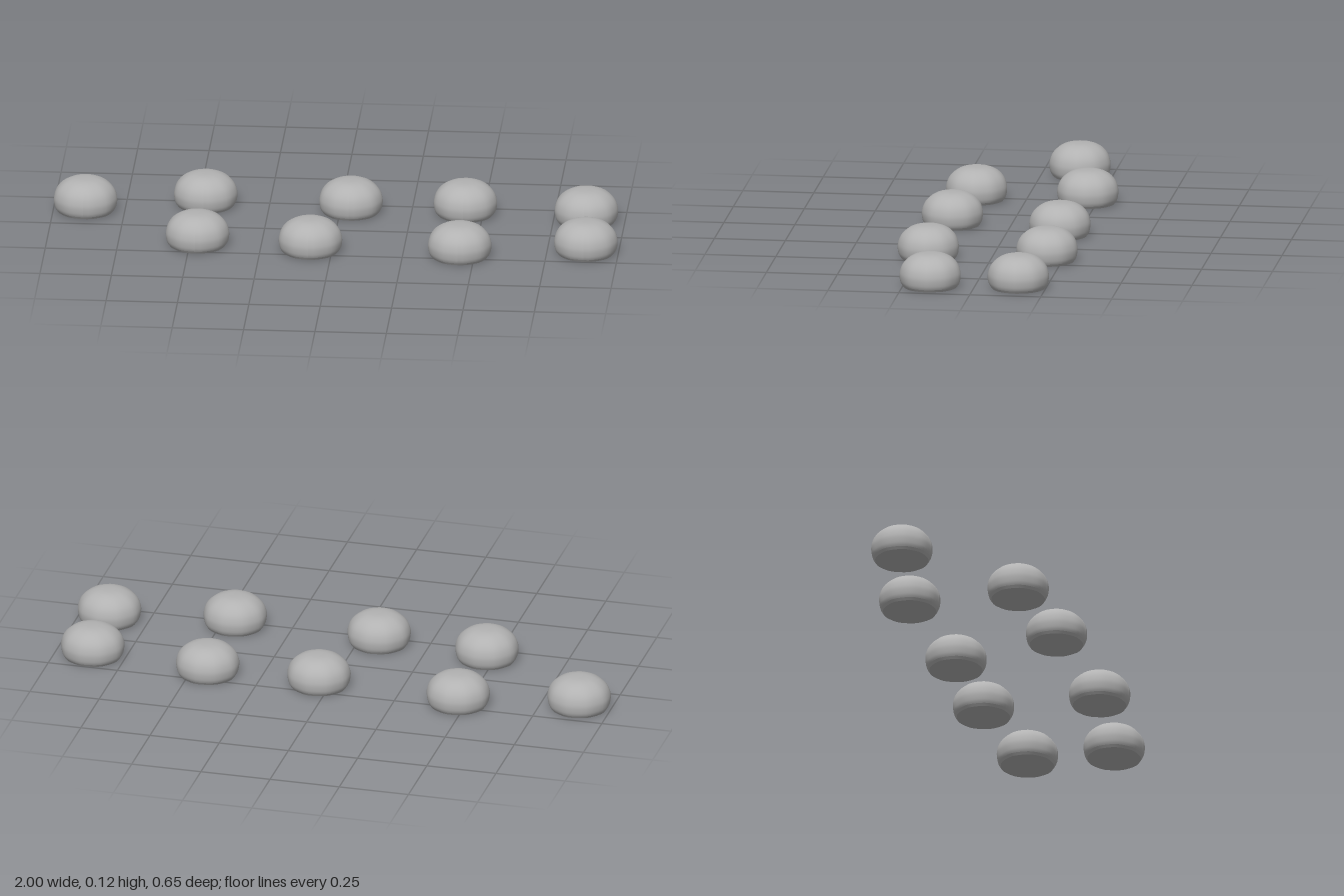
import * as THREE from 'three';

export function createModel() {
  const model = new THREE.Group();
  model.name = 'stones';
  const stoneGrey = new THREE.MeshStandardMaterial({ color: 0xb2b2b2 });
  stoneGrey.name = 'stoneGrey';

  // Low dome: undercut foot, widest near the bottom, softly flattened top
  const rim = [[0.93, 0.009], [0.975, 0.02], [1, 0.04], [0.985, 0.056], [0.93, 0.074],
    [0.83, 0.09], [0.68, 0.104], [0.49, 0.114], [0.27, 0.119], [0, 0.12]];
  const dome = new THREE.SplineCurve(rim.map(([r, y]) => new THREE.Vector2(r, y))).getPoints(24);
  dome[dome.length - 1].x = 0;
  const domeGeometry = new THREE.LatheGeometry(dome, 40);
  const footGeometry = new THREE.LatheGeometry(
    [new THREE.Vector2(0.87, 0), new THREE.Vector2(0.93, 0.009)], 40);
  const baseGeometry = new THREE.CircleGeometry(0.87, 40).rotateX(Math.PI / 2);

  // Slight lumpiness around the outline, the same for every layer
  for (const geometry of [domeGeometry, footGeometry, baseGeometry]) {
    const p = geometry.attributes.position;
    for (let i = 0; i < p.count; i++) {
      const a = Math.atan2(p.getZ(i), p.getX(i));
      const k = 1 + 0.008 * Math.cos(9 * a);
      p.setX(i, p.getX(i) * k * 0.111);
      p.setZ(i, p.getZ(i) * k * 0.107);
    }
    geometry.computeVertexNormals();
  }

  // Two loose rows of stones: x, z
  const places = [
    [-0.888, -0.137], [-0.473, -0.22], [0.038, -0.19], [0.438, -0.198], [0.865, -0.154],
    [-0.473, 0.172], [-0.075, 0.204], [0.449, 0.219], [0.886, 0.154],
  ];
  places.forEach(([x, z], i) => {
    const stone = new THREE.Group();
    stone.name = `stone${i + 1}`;
    const parts = { dome: domeGeometry, foot: footGeometry, base: baseGeometry };
    for (const [name, geometry] of Object.entries(parts)) {
      const mesh = new THREE.Mesh(geometry, stoneGrey);
      mesh.name = name;
      stone.add(mesh);
    }
    stone.position.set(x, 0, z);
    model.add(stone);
  });
  return model;
}
